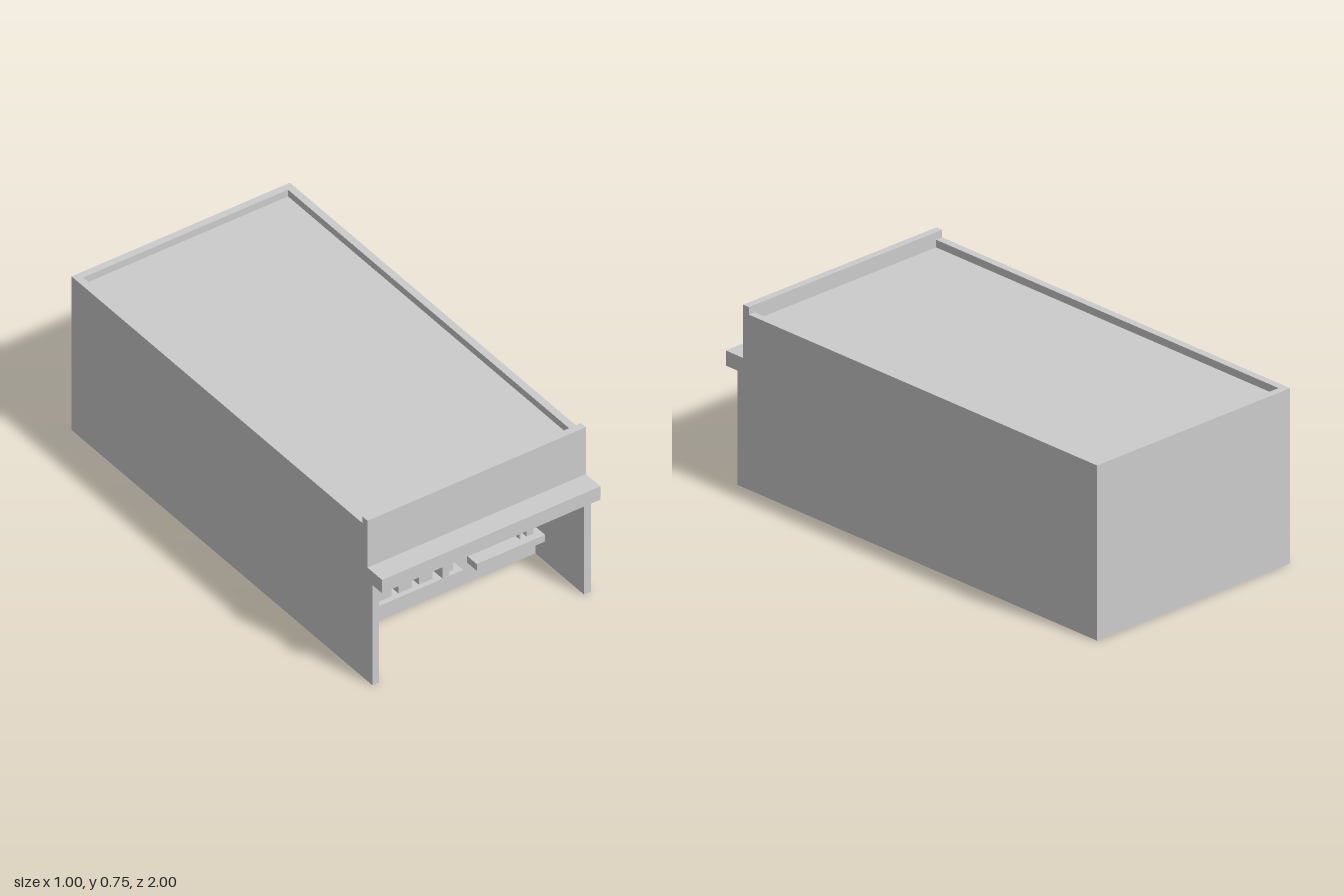
import * as THREE from 'three';

const material = new THREE.MeshStandardMaterial({ color: 0xcccccc, flatShading: true });

export function createModel() {
  const model = new THREE.Group();

  // Box given by its limits on each axis
  function box(name, [x0, x1], [y0, y1], [z0, z1]) {
    const mesh = new THREE.Mesh(new THREE.BoxGeometry(x1 - x0, y1 - y0, z1 - z0), material);
    mesh.position.set((x0 + x1) / 2, (y0 + y1) / 2, (z0 + z1) / 2);
    mesh.name = name;
    model.add(mesh);
  }

  const wall = 0.625; // front face of the recessed wall
  const inner = [-0.469, 0.469];

  // Side walls: longer below the ledge than above it
  const side = new THREE.Shape([
    [-1, 0], [0.938, 0], [0.938, 0.469], [0.906, 0.469], [0.906, 0.719], [-1, 0.719],
  ].map(([z, y]) => new THREE.Vector2(-z, y)));
  for (const [name, x] of [['rightWall', -0.5], ['leftWall', 0.469]]) {
    const geometry = new THREE.ExtrudeGeometry(side, { depth: 0.031, bevelEnabled: false });
    geometry.rotateY(Math.PI / 2);
    const mesh = new THREE.Mesh(geometry, material);
    mesh.position.x = x;
    mesh.name = name;
    model.add(mesh);
  }

  // Main block, back rim, recess ceiling, front fascia and ledge
  box('body', inner, [0, 0.688], [-0.969, wall]);
  box('backWall', inner, [0, 0.719], [-1, -0.969]);
  box('recessCeiling', inner, [0.469, 0.688], [wall, 0.875]);
  box('fascia', [-0.5, 0.5], [0.469, 0.75], [0.875, 0.906]);
  box('ledge', [-0.5, 0.5], [0.469, 0.531], [0.906, 1]);

  // Three shelves of goods; 1 marks a tall item
  const rows = [[0, 1, 0, 1, 0, 1], [0, 0, 1, 0, 0, 1], [0, 1, 1, 0, 1, 0]];
  rows.forEach((row, r) => {
    const top = 0.125 * (r + 1);
    box('shelf', [-0.469, 0.094], [top - 0.031, top], [wall, wall + 0.0625]);
    row.forEach((tall, i) => {
      const x = -0.469 + i * 0.0938;
      box('shelfItem', [x, x + 0.0625], [top, top + (tall ? 0.094 : 0.0625)], [wall, wall + 0.04]);
    });
  });
  box('smallShelfItem', [0, 0.031], [0.125, 0.188], [wall + 0.04, wall + 0.06]);

  // Window frame with sill
  const frameZ = [wall, wall + 0.031];
  box('frameTop', [0.125, 0.469], [0.375, 0.406], frameZ);
  box('frameSide', [0.125, 0.156], [0.188, 0.375], frameZ);
  box('frameSide', [0.438, 0.469], [0.188, 0.375], frameZ);
  box('windowSill', [0.156, 0.438], [0.188, 0.219], [wall, wall + 0.05]);

  // Counter below the window, with hanging and standing utensils
  box('counter', [0.156, 0.469], [0.094, 0.125], [wall, wall + 0.0625]);
  box('hangingItem', [0.188, 0.25], [0.156, 0.188], frameZ);
  box('hangingItem', [0.281, 0.313], [0.156, 0.188], frameZ);
  box('hangingItem', [0.344, 0.375], [0.156, 0.188], frameZ);
  box('counterItem', [0.375, 0.38], [0.125, 0.156], frameZ);
  box('counterItem', [0.406, 0.438], [0.125, 0.156], frameZ);

  return model;
}
